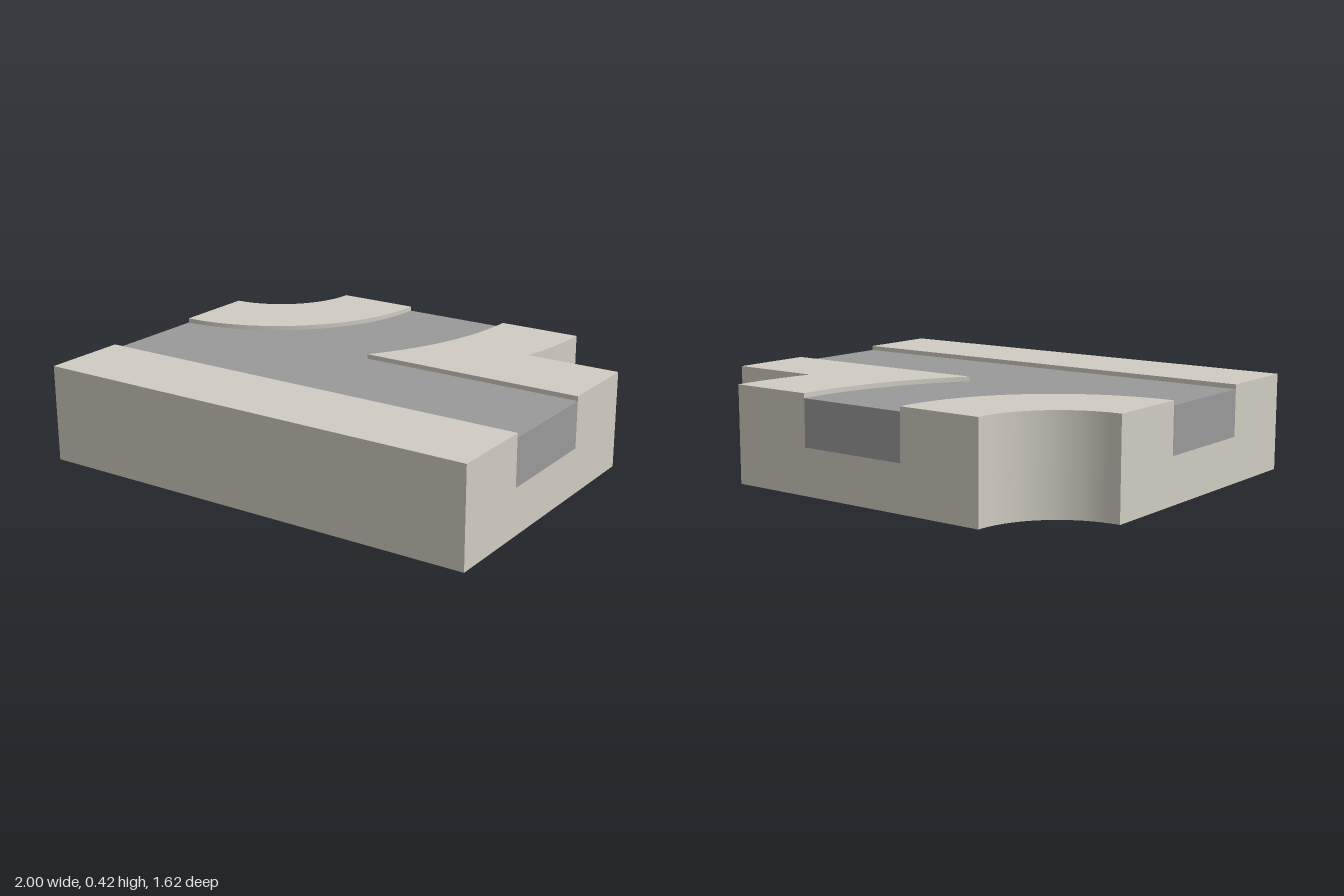
import * as THREE from 'three';
import { toCreasedNormals } from 'three/addons/utils/BufferGeometryUtils.js';

// Plan shapes are drawn in (x, -z); all curves share one centre at the back corner.
const CX = -1, CY = 0.8125;
const QUARTER = -Math.PI / 2;

// points are [x, y]; arcs are { r, from, to }
function plan(steps) {
  const s = new THREE.Shape();
  steps.forEach((p, i) => {
    if (!Array.isArray(p)) s.absarc(CX, CY, p.r, p.from, p.to, p.to < p.from);
    else if (i === 0) s.moveTo(p[0], p[1]);
    else s.lineTo(p[0], p[1]);
  });
  s.closePath();
  return s;
}

// angle at which the circle of radius r crosses the line y
const angleAt = (r, y) => -Math.asin((CY - y) / r);

export function createModel() {
  const group = new THREE.Group();
  const stone = new THREE.MeshStandardMaterial({ color: 0xd0ccc2 });
  const asphalt = new THREE.MeshStandardMaterial({ color: 0x999999 });

  function slab(name, steps, y0, y1, material) {
    const geo = new THREE.ExtrudeGeometry(plan(steps), {
      depth: y1 - y0, bevelEnabled: false, curveSegments: 32,
    });
    geo.rotateX(-Math.PI / 2).translate(0, y0, 0);
    const mesh = new THREE.Mesh(toCreasedNormals(geo, Math.PI / 6), material);
    mesh.name = name;
    group.add(mesh);
  }

  const outer = angleAt(1.625, 0.4375);
  const roadEdge = angleAt(1.25, 0.0625);

  // Foundation under the whole junction
  slab('base', [
    [-1, -CY], [1, -CY], [1, 0.4375],
    { r: 1.625, from: outer, to: 0 },
    { r: 0.375, from: 0, to: QUARTER },
  ], 0, 0.2, stone);

  // Straight road merged with the curved branch
  slab('road', [
    [-1, -0.4375], [1, -0.4375], [1, 0.0625],
    { r: 1.25, from: roadEdge, to: 0 },
    { r: 0.75, from: 0, to: QUARTER },
  ], 0.2, 0.4, asphalt);

  // Raised pavements around the road
  slab('frontPavement', [[-1, -CY], [1, -CY], [1, -0.4375], [-1, -0.4375]], 0.2, 0.42, stone);
  slab('cornerPavement', [
    [-1, 0.0625],
    { r: 0.75, from: QUARTER, to: 0 },
    { r: 0.375, from: 0, to: QUARTER },
  ], 0.2, 0.42, stone);
  slab('forkPavement', [
    [0, 0.0625], [1, 0.0625], [1, 0.4375],
    { r: 1.625, from: outer, to: 0 },
    { r: 1.25, from: 0, to: roadEdge },
  ], 0.2, 0.42, stone);

  return group;
}
